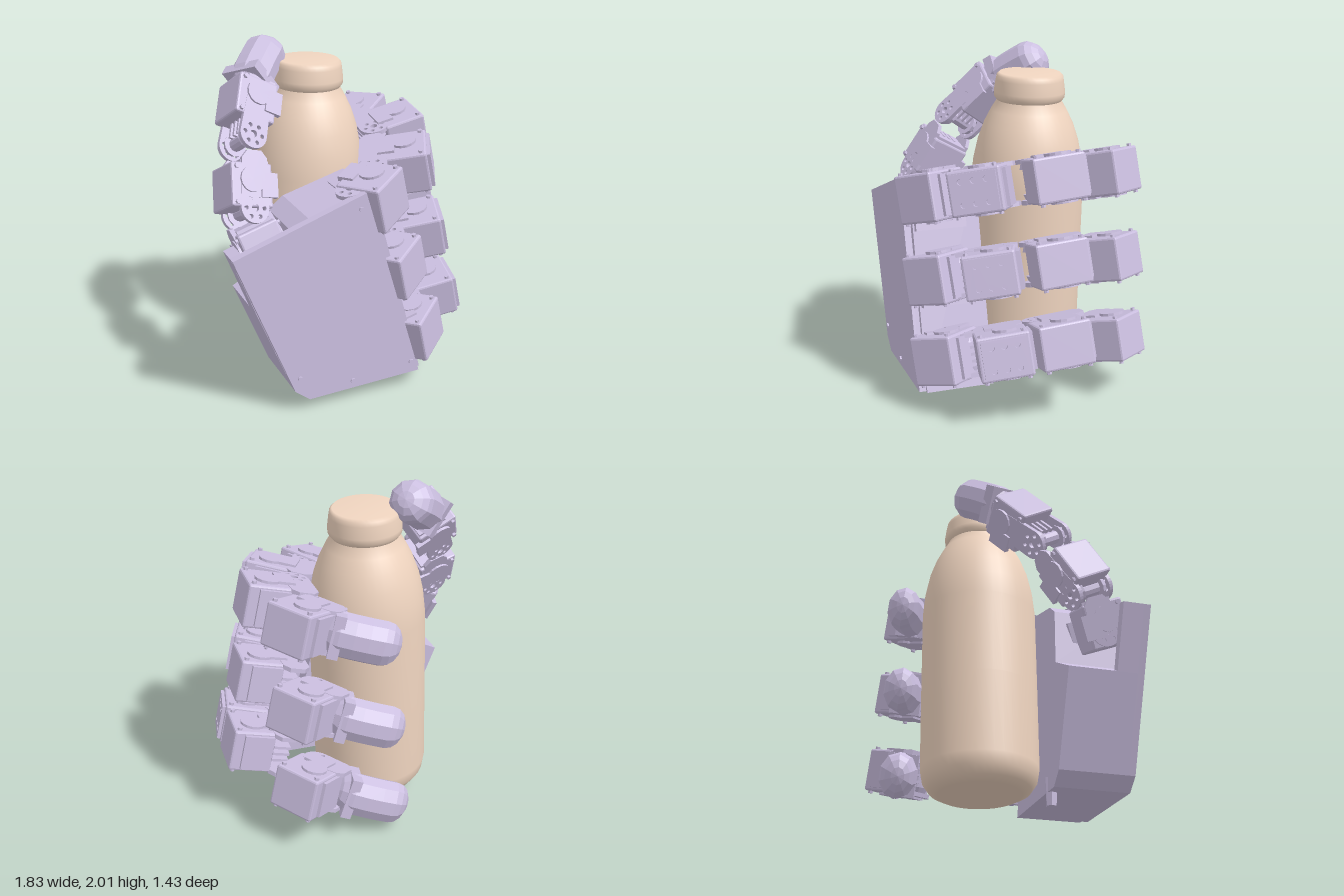
import * as THREE from 'three';
import { RoundedBoxGeometry } from 'three/addons/geometries/RoundedBoxGeometry.js';

const shell = new THREE.MeshStandardMaterial({ color: 0xcbbfe0, flatShading: true });
const bottleMat = new THREE.MeshStandardMaterial({ color: 0xf0d5c0, side: THREE.DoubleSide });
const V = (x, y, z) => new THREE.Vector3(x, y, z);

function add(parent, name, geometry, x = 0, y = 0, z = 0, mat = shell) {
  const mesh = new THREE.Mesh(geometry, mat);
  mesh.name = name;
  mesh.position.set(x, y, z);
  parent.add(mesh);
  return mesh;
}

function hole(shape, x, y, r) {
  shape.holes.push(new THREE.Path().absarc(x, y, r, 0, Math.PI * 2, true));
}

function extrude(points, depth) {
  const shape = new THREE.Shape(points.map(([x, y]) => new THREE.Vector2(x, y)));
  return new THREE.ExtrudeGeometry(shape, { depth, bevelEnabled: false });
}

// Link plate with round ends and a ring of holes about the hinge
function bracketGeometry(length, r = 0.085) {
  const s = new THREE.Shape();
  s.absarc(0, 0, r, Math.PI, Math.PI * 2, false);
  s.lineTo(r * 0.8, length - r * 0.5);
  s.lineTo(r * 0.4, length);
  s.lineTo(-r * 0.6, length);
  s.lineTo(-r, length - r * 0.5);
  for (let i = 0; i < 6; i++) hole(s, Math.cos(i * 1.047) * 0.055, Math.sin(i * 1.047) * 0.055, 0.013);
  hole(s, 0, 0, 0.022);
  const g = new THREE.ExtrudeGeometry(s, { depth: 0.025, bevelEnabled: false, curveSegments: 8 });
  return g.translate(0, 0, -0.0125).rotateY(-Math.PI / 2);
}

// Flat cover pierced by six holes
function coverGeometry(w, h) {
  const s = new THREE.Shape([[-w, -h], [w, -h], [w, h], [-w, h]].map(p => new THREE.Vector2(p[0] / 2, p[1] / 2)));
  for (const x of [-0.3, 0.3]) for (const y of [-0.28, 0, 0.28]) hole(s, x * w, y * h, 0.017);
  return new THREE.ExtrudeGeometry(s, { depth: 0.02, bevelEnabled: false, curveSegments: 5 });
}

// Group whose y axis runs from p0 to p1 and whose z axis points outward
function frame(name, p0, p1, out) {
  const y = p1.clone().sub(p0).normalize();
  const x = y.clone().cross(out).normalize();
  const z = x.clone().cross(y);
  const g = new THREE.Group();
  g.name = name;
  g.position.copy(p0);
  g.quaternion.setFromRotationMatrix(new THREE.Matrix4().makeBasis(x, y, z));
  return g;
}

// Hinge, side plates and motor housing of one finger link
function link(name, p0, p1, out, { along, off, w = 0.25, h = 0.27, d = 0.26, cover = false }) {
  const g = frame(name, p0, p1, out);
  const length = Math.max(p0.distanceTo(p1) * 0.8, 0.16);
  for (const side of [-1, 1]) {
    add(g, 'sidePlate', bracketGeometry(length), side * 0.115, 0, 0);
    add(g, 'hingeDisc', new THREE.CylinderGeometry(0.06, 0.07, 0.03, 12).rotateZ(-side * Math.PI / 2), side * 0.085);
    add(g, 'motorLug', new THREE.BoxGeometry(0.03, h * 0.55, 0.1), side * (w / 2), along, off - d * 0.4);
    add(g, 'motorHorn', new THREE.CylinderGeometry(0.075, 0.075, 0.02, 14).rotateZ(Math.PI / 2), side * (w / 2 + 0.005), along + 0.03, off);
    for (const k of [-1, 1])
      add(g, 'screw', new THREE.CylinderGeometry(0.014, 0.014, 0.02, 6).rotateZ(Math.PI / 2), side * (w / 2 + 0.005), along + k * h * 0.4, off + d * 0.38);
  }
  add(g, 'hingePin', new THREE.CylinderGeometry(0.04, 0.04, 0.2, 10).rotateZ(Math.PI / 2));
  for (const x of [-0.04, 0, 0.04]) add(g, 'rib', new THREE.BoxGeometry(0.016, length * 0.8, 0.1), x, length * 0.45, 0.01);
  add(g, 'motorHousing', new RoundedBoxGeometry(w, h, d, 1, 0.012), 0, along, off);
  add(g, 'motorStep', new THREE.BoxGeometry(w * 0.85, h * 0.4, d * 0.7), 0, along + h * 0.37, off - d * 0.1);
  if (cover) add(g, 'motorCover', coverGeometry(w * 0.85, h * 0.85), 0, along, off + d / 2);
  return g;
}

// Softly curved pad at the end of a finger
function fingertip(parent, length, centre, rx, rz, bulge, bend) {
  const geo = new THREE.CapsuleGeometry(0.1, length - 0.2, 4, 10, 3);
  const p = geo.attributes.position;
  for (let i = 0; i < p.count; i++) {
    const y = p.getY(i);
    p.setXYZ(i, p.getX(i) * rx * 10, y, p.getZ(i) * rz * 10 + bulge - bend * y * y);
  }
  add(parent, 'fingertip', geo, 0, centre, 0);
  add(parent, 'tipCollar', new THREE.BoxGeometry(rx * 1.9, 0.06, rz * 1.8), 0, centre - length * 0.3, bulge * 0.5);
}

function buildFinger(i) {
  const g = new THREE.Group();
  g.name = ['upperFinger', 'middleFinger', 'lowerFinger'][i];
  const base = [1.2, 0.72, 0.25][i], slope = 0.27;
  const at = (x, z, drop = 0) => V(x, base + slope * x - drop, z);
  const dir = (x, z) => V(x, slope * x, z);
  const p0 = at(-0.15 + 0.13 * i, 0.44 + 0.05 * i);
  const p1 = at(0.08 + 0.12 * i, 0.38 + 0.04 * i);
  const p2 = at(0.41 + 0.06 * i, 0.05 + 0.02 * i);
  const p2End = at(0.54 + 0.06 * i, -0.27 + 0.02 * i);
  const x3 = 0.51 + 0.01 * i, z3 = -0.25 - 0.03 * i, drop = 0.02 + 0.03 * i;
  const p3 = at(x3, z3, drop);
  const p4 = at(x3 - 0.08, z3 - 0.24, drop);
  const tipStart = at(x3 - 0.03 - 0.03 * i, z3 - 0.14, drop + 0.01 * i);
  const tipEnd = at(0.22 - 0.06 * i, -0.61 - 0.03 * i, drop + 0.01 + 0.03 * i);
  g.add(link('knuckle', p0, p1, dir(0.25, 0.95), { along: 0.13, off: 0.05, w: 0.28, h: 0.28, d: 0.28 }));
  g.add(link('innerLink', p1, p2, dir(0.7, 0.7), { along: 0.2, off: 0.18, h: 0.3, cover: true }));
  g.add(link('middleLink', p2, p2End, dir(0.92, 0.38), { along: 0.08, off: 0.18, h: 0.3, d: 0.25 }));
  g.add(link('outerLink', p3, p4, dir(0.94, -0.35), { along: 0.03, off: 0.13, h: 0.28 }));
  const end = frame('fingerEnd', tipStart, tipEnd, dir(0.59, -0.81));
  fingertip(end, 0.45, 0.19, 0.13, 0.1, 0.02, 0.45);
  g.add(end);
  return g;
}

function buildThumb() {
  const g = new THREE.Group();
  g.name = 'thumb';
  const j0 = V(-0.61, 0.93, 0.2), j1 = V(-0.65, 1.16, 0.09), j2 = V(-0.52, 1.5, -0.09), j3 = V(-0.33, 1.75, -0.26), tip = V(-0.09, 1.91, -0.38);
  g.add(link('thumbBase', j0, j1, V(-0.31, 0, 0.95), { along: 0.04, off: 0.02, w: 0.24, h: 0.26, d: 0.24 }));
  g.add(link('thumbInnerLink', j1, j2, V(-0.8, 0.4, -0.3), { along: 0.13, off: 0.01, h: 0.25, d: 0.25 }));
  g.add(link('thumbMiddleLink', j2, j3, V(-0.8, 0.5, -0.3), { along: 0.23, off: 0, h: 0.25, d: 0.25 }));
  const end = frame('thumbEnd', j3, tip, V(-0.6, 0.8, -0.1));
  fingertip(end, 0.4, 0.16, 0.13, 0.125, 0.01, 0.3);
  g.add(end);
  return g;
}

function buildPalm() {
  const g = new THREE.Group();
  g.name = 'palm';
  g.position.set(-0.91, 0, 0.33);
  g.rotation.y = -0.315;
  add(g, 'palmPlate', extrude([[-0.01, 1.02], [0.77, 1.29], [1.135, 0.1], [0.43, 0.07], [0.34, 0.14]], 0.05), 0, 0, -0.05);
  // Housing, cut away where the thumb motor sits
  add(g, 'palmHousing', extrude([[0.13, 0.66], [0.36, 0.78], [0.36, 1.1], [0.45, 1.17], [0.83, 1.28], [1.16, 0.1], [0.43, 0.07], [0.34, 0.14]], 0.4), 0, 0, -0.44);
  add(g, 'thumbGuard', extrude([[-0.01, 1.02], [0.13, 0.66], [0.18, 0.68], [0.05, 1.04]], 0.12), 0, 0, -0.16);
  for (const [x, y] of [[0.37, 0.22], [0.7, 0.13], [0.74, 1.2], [1.08, 0.17]])
    add(g, 'palmScrew', new THREE.CylinderGeometry(0.015, 0.015, 0.02, 8).rotateX(Math.PI / 2), x, y, 0);
  for (let i = 0; i < 3; i++)
    add(g, 'knuckleMount', new THREE.BoxGeometry(0.18, 0.3, 0.3), 0.82 + i * 0.135, 1.13 - i * 0.42, -0.2).rotation.z = 0.28;
  return g;
}

function buildBottle() {
  const g = new THREE.Group();
  g.name = 'bottle';
  g.position.set(0.005, 0, -0.195);
  g.rotation.z = -0.033;
  const lathe = pts => new THREE.LatheGeometry(pts.map(p => new THREE.Vector2(...p)), 40);
  add(g, 'bottleBody', lathe([[0, 0.08], [0.24, 0.075], [0.29, 0.1], [0.325, 0.15], [0.337, 0.22], [0.338, 0.7], [0.338, 1.2],
    [0.325, 1.34], [0.3, 1.46], [0.265, 1.56], [0.225, 1.64], [0.195, 1.69], [0.185, 1.74]]), 0, 0, 0, bottleMat);
  add(g, 'bottleCap', lathe([[0.17, 1.69], [0.19, 1.695], [0.208, 1.72], [0.21, 1.75], [0.2, 1.82], [0.195, 1.845], [0.18, 1.86], [0, 1.86]]), 0, 0, 0, bottleMat);
  return g;
}

export function createModel() {
  const model = new THREE.Group();
  model.name = 'mechanicalHandHoldingBottle';
  model.add(buildPalm(), buildThumb(), buildBottle());
  for (let i = 0; i < 3; i++) model.add(buildFinger(i));
  // Small foot under the palm
  add(model, 'foot', new THREE.CylinderGeometry(0.04, 0.03, 0.16, 6), -0.25, 0.08, 0.11);
  return model;
}
